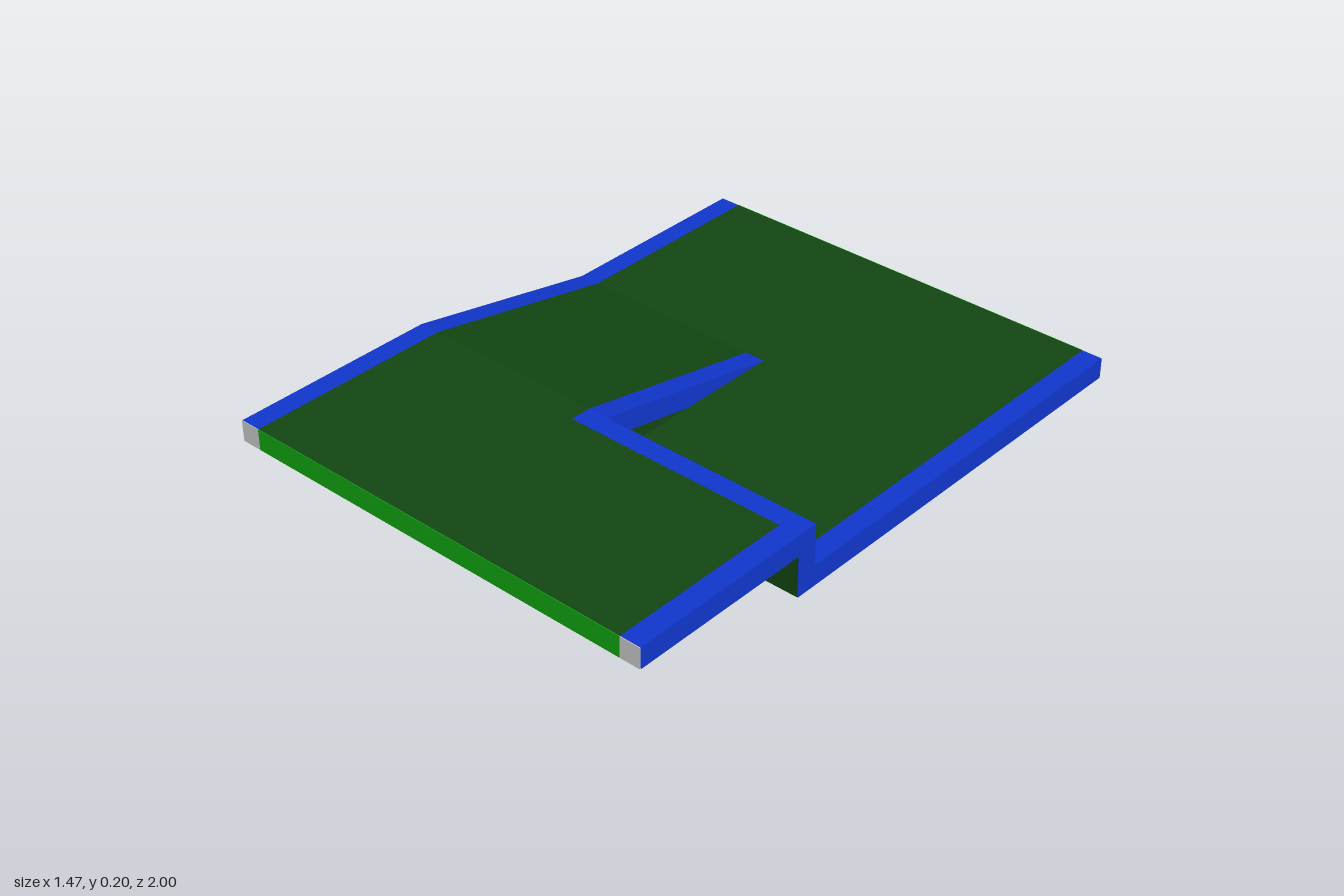
import * as THREE from 'three';

const W = 0.733, T = 0.067, R = 0.333, HIGH = 0.2, END = 0.998;

const mat = (color) => new THREE.MeshStandardMaterial({ color });
const blue = mat(0x1036cc), deckGreen = mat(0x134612), brightGreen = mat(0x11a611), grey = mat(0xcccccc);

export function createModel() {
  const model = new THREE.Group();

  // Side profile given as [z, y] points, extruded from x0 to x1
  function slab(name, material, x0, x1, points) {
    const shape = new THREE.Shape(points.map(([z, y]) => new THREE.Vector2(z, y)));
    const geo = new THREE.ExtrudeGeometry(shape, { depth: x1 - x0, bevelEnabled: false });
    geo.rotateY(-Math.PI / 2).translate(x1, 0, 0);
    const mesh = new THREE.Mesh(geo, material);
    mesh.name = name;
    model.add(mesh);
  }

  function box(name, material, x0, x1, y0, y1, z0, z1) {
    const geo = new THREE.BoxGeometry(x1 - x0, y1 - y0, z1 - z0);
    const mesh = new THREE.Mesh(geo, material);
    mesh.position.set((x0 + x1) / 2, (y0 + y1) / 2, (z0 + z1) / 2);
    mesh.name = name;
    model.add(mesh);
  }

  // Band of constant height following a top line
  const band = (line) => [...line, ...line.slice().reverse().map(([z, y]) => [z, y - T])];
  const rampLine = [[-END, T], [-R, T], [R, HIGH], [END, HIGH]];

  // Ramp side with its outer edge beam
  slab('rampDeck', deckGreen, -W + T, -T, band(rampLine));
  slab('rampEdgeBeam', blue, -W, -W + T, band(rampLine));

  // Upper and lower decks on the stepped side
  box('upperDeck', deckGreen, -T, W - T, HIGH - T, HIGH, R + T, END);
  box('lowerDeck', deckGreen, 0, W - T, 0, T, -END, R);
  box('lowerDeckJoin', deckGreen, -T, 0, 0, T, -END, -R);
  box('upperEdgeBeam', blue, W - T, W, HIGH - T, HIGH, R + T, END);
  box('lowerEdgeBeam', blue, W - T, W, 0, T, -END, R);

  // Step wall: green faces, blue coping and corner post
  box('stepWall', deckGreen, -T, W - 0.002, 0, HIGH - T, R, R + T);
  box('stepCoping', blue, -T, W, HIGH - T, HIGH, R, R + T);
  box('stepPost', blue, W - 0.002, W, 0, HIGH - T, R, R + T);

  // Wall between ramp and lower deck, with sloping blue coping
  slab('innerWall', deckGreen, -T, 0, [[-R, 0], [R, 0], [R, HIGH - T]]);
  slab('innerCoping', blue, -T, 0, band([[-R, T], [R, HIGH]]));

  // End faces: bright green strip with grey corner caps
  for (const [name, y, s] of [['front', HIGH - T, 1], ['back', 0, -1]]) {
    const z0 = Math.min(s * END, s), z1 = Math.max(s * END, s);
    box(name + 'EndStrip', brightGreen, -W + T, W - T, y, y + T, z0, z1);
    box(name + 'RightCap', grey, -W, -W + T, y, y + T, z0, z1);
    box(name + 'LeftCap', grey, W - T, W, y, y + T, z0, z1);
  }

  return model;
}
